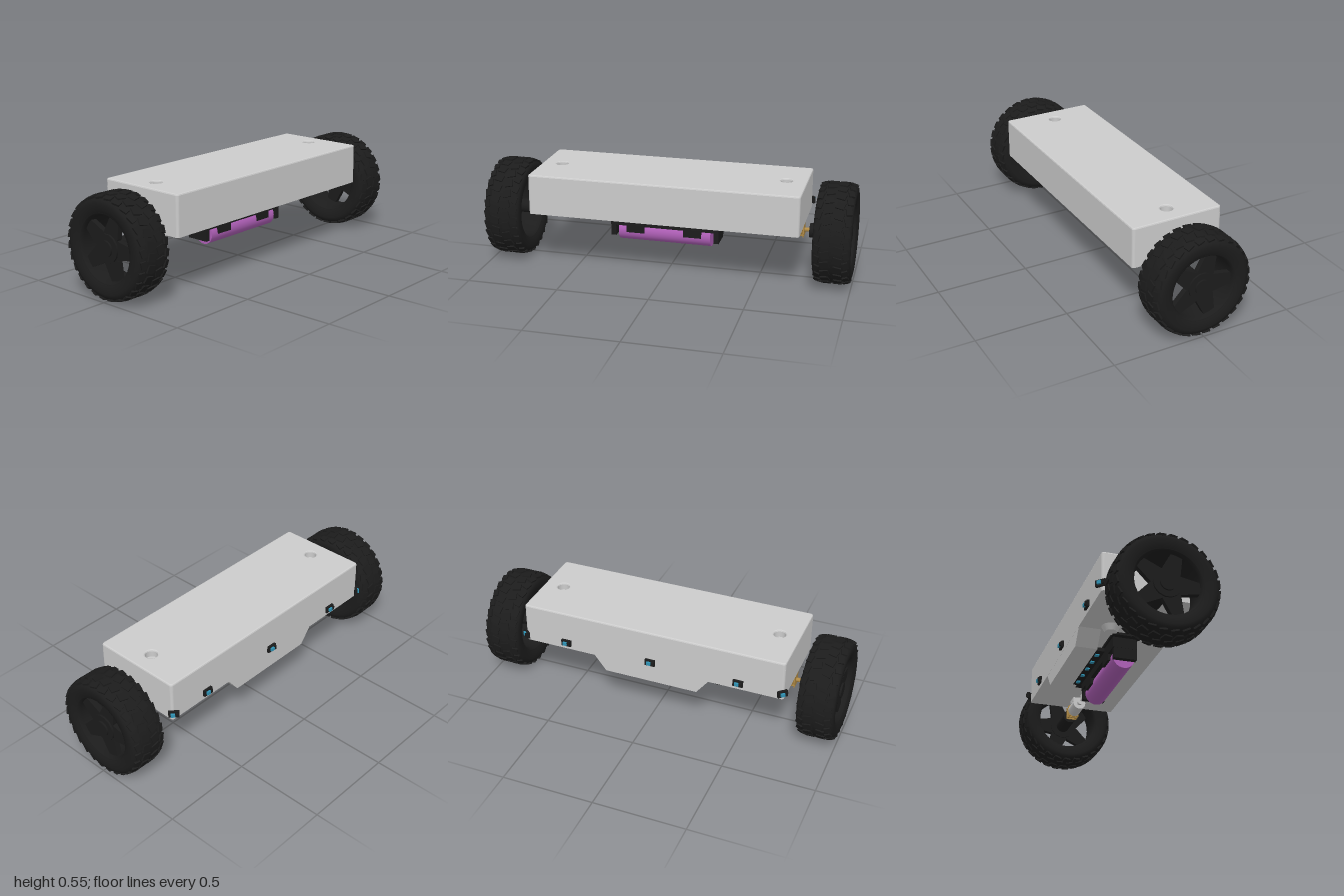
import * as THREE from 'three';
import { RoundedBoxGeometry } from 'three/addons/geometries/RoundedBoxGeometry.js';

const mat = (color, extra = {}) => new THREE.MeshStandardMaterial({ color, ...extra });
const GREY = mat(0xcccccc);
const BLACK = mat(0x1c1c1c);
const TYRE = mat(0x1c1c1c, { side: THREE.DoubleSide });
const PURPLE = mat(0xb060b8);
const BRASS = mat(0xb08a45);
const BLUE = mat(0x2f93b5);

function add(parent, name, geometry, material, x = 0, y = 0, z = 0) {
  const mesh = new THREE.Mesh(geometry, material);
  mesh.name = name;
  mesh.position.set(x, y, z);
  parent.add(mesh);
  return mesh;
}
const box = (w, h, d) => new THREE.BoxGeometry(w, h, d);
const rod = (r, len, n = 24, r2 = r) => new THREE.CylinderGeometry(r, r2, len, n);
const rodX = (r, len, n = 24) => rod(r, len, n).rotateZ(-Math.PI / 2);

// Wheel with its outer side towards +x, origin at the axle in the middle of the tyre
function makeWheel() {
  const wheel = new THREE.Group();
  const lathe = (pts) => new THREE.LatheGeometry(pts.map(p => new THREE.Vector2(...p)), 40).rotateZ(-Math.PI / 2);

  add(wheel, 'tyre', lathe([
    [0.182, -0.088], [0.2, -0.097], [0.228, -0.1], [0.246, -0.095], [0.259, -0.079], [0.265, -0.045], [0.266, 0],
    [0.265, 0.045], [0.259, 0.079], [0.246, 0.095], [0.228, 0.1], [0.2, 0.097], [0.182, 0.088],
  ]), TYRE);
  add(wheel, 'rim', lathe([
    [0.184, -0.088], [0.176, -0.088], [0.168, -0.07], [0.165, 0], [0.168, 0.07], [0.176, 0.088], [0.184, 0.088],
  ]), TYRE);

  // Staggered tread blocks
  const rows = [[-0.076, 0.2605, 0.28], [-0.03, 0.266, 0], [0.03, 0.266, 0], [0.076, 0.2605, -0.28]];
  const count = 28;
  rows.forEach(([x, r, tilt], row) => {
    for (let i = 0; i < count; i++) {
      const a = ((i + (row % 2) * 0.5) / count) * Math.PI * 2;
      const geo = box(row % 3 ? 0.045 : 0.03, 0.011, 0.04);
      geo.rotateY(row % 2 ? 0.25 : -0.25).rotateZ(tilt).translate(x, r, 0).rotateX(a);
      add(wheel, 'treadBlock', geo, BLACK);
    }
  });

  // Five tapered spokes
  const spoke = new THREE.Shape([
    [0.04, -0.05], [0.075, -0.048], [0.175, -0.029], [0.175, 0.029], [0.075, 0.048], [0.04, 0.05],
  ].map(p => new THREE.Vector2(...p)));
  const spokeGeo = new THREE.ExtrudeGeometry(spoke, { depth: 0.03, bevelEnabled: false }).rotateY(Math.PI / 2);
  for (let i = 0; i < 5; i++) {
    add(wheel, 'spoke', spokeGeo, BLACK, 0.035).rotation.x = (i / 5) * Math.PI * 2;
  }
  add(wheel, 'hub', rodX(0.074, 0.045, 14), BLACK, 0.052);
  add(wheel, 'hubCap', rodX(0.041, 0.012), BLACK, 0.078);
  add(wheel, 'hubSleeve', rodX(0.039, 0.18), BLACK, -0.05);
  return wheel;
}

// Small sensor looking towards -z
function makeSensor() {
  const sensor = new THREE.Group();
  sensor.name = 'distanceSensor';
  add(sensor, 'sensorHousing', box(0.055, 0.036, 0.014), BLACK, 0, 0, -0.006);
  add(sensor, 'sensorEye', box(0.022, 0.018, 0.012), BLUE, 0.004, 0, -0.018);
  add(sensor, 'sensorPlug', box(0.014, 0.022, 0.01), BLACK, -0.017, 0, -0.017);
  return sensor;
}

function roundedRect(w, h, r) {
  const s = new THREE.Shape();
  const x = w / 2, y = h / 2;
  s.absarc(x - r, y - r, r, 0, Math.PI / 2);
  s.absarc(-x + r, y - r, r, Math.PI / 2, Math.PI);
  s.absarc(-x + r, -y + r, r, Math.PI, Math.PI * 1.5);
  s.absarc(x - r, -y + r, r, Math.PI * 1.5, Math.PI * 2);
  return s;
}

function makeBody() {
  const body = new THREE.Group();
  body.name = 'body';
  const shell = new THREE.ExtrudeGeometry(roundedRect(1.47, 0.505, 0.014), { depth: 0.18, bevelEnabled: false });
  add(body, 'shell', shell.rotateX(-Math.PI / 2), GREY, 0, 0.32, 0.002);

  // Lid with two recessed screw holes
  const b = 0.008;
  const top = roundedRect(1.47 - 2 * b, 0.505 - 2 * b, 0.008);
  for (const s of [-1, 1]) {
    const hole = new THREE.Path();
    hole.absarc(s * 0.625, 0, 0.04, 0, Math.PI * 2, true);
    top.holes.push(hole);
    add(body, 'screwHead', rod(0.016, 0.012), GREY, s * 0.625, 0.505, 0.002);
  }
  const lid = new THREE.ExtrudeGeometry(top, { depth: 0.042 - b, bevelThickness: b, bevelSize: b, bevelSegments: 2, curveSegments: 20 });
  add(body, 'lid', lid.rotateX(-Math.PI / 2), GREY, 0, 0.5 - 0.002, 0.002);

  // Lowered skirt in the middle of the back
  const skirt = new THREE.Shape([[-0.33, 0.325], [-0.26, 0.235], [0.26, 0.235], [0.33, 0.325]].map(p => new THREE.Vector2(...p)));
  add(body, 'backSkirt', new THREE.ExtrudeGeometry(skirt, { depth: 0.12, bevelEnabled: false }), GREY, 0, 0, -0.25);

  // Mounting bosses under the floor
  for (const x of [-0.37, 0.37]) {
    for (const z of [-0.09, 0.11]) add(body, 'mountingBoss', rod(0.05, 0.032, 20, 0.032), GREY, x, 0.305, z);
  }
  return body;
}

// Battery, its holder and the electronics under the floor
function makeUnderside() {
  const g = new THREE.Group();
  g.name = 'underside';
  add(g, 'circuitBoard', box(0.72, 0.014, 0.15), BLACK, 0, 0.293, 0);
  add(g, 'holderBase', box(0.6, 0.065, 0.13), BLACK, -0.03, 0.26, 0);
  for (const x of [-0.315, 0.262]) add(g, 'holderEnd', box(0.028, 0.12, 0.125), BLACK, x, 0.228, 0.003);
  for (const x of [-0.19, 0.13]) add(g, 'holderClip', box(0.1, 0.045, 0.138), BLACK, x, 0.215, 0.003);
  add(g, 'battery', rodX(0.06, 0.515, 28), PURPLE, -0.028, 0.195, 0.008);
  for (let i = 0; i < 6; i++) {
    add(g, 'boardComponent', box(0.05, 0.022, 0.03), BLACK, -0.25 + i * 0.1, 0.308, 0.06);
  }
  add(g, 'connector', new RoundedBoxGeometry(0.11, 0.038, 0.05, 2, 0.006), GREY, 0.38, 0.254, 0);

  // Row of downward sensors beside the skirt
  add(g, 'lineSensorBar', box(0.46, 0.02, 0.05), BLACK, 0, 0.252, -0.105);
  for (let i = 0; i < 5; i++) add(g, 'lineSensor', box(0.024, 0.01, 0.02), BLUE, -0.18 + i * 0.09, 0.24, -0.108);
  return g;
}

// Gear motor for the +x side, shaft along x
function makeDrive() {
  const g = new THREE.Group();
  add(g, 'motor', rodX(0.036, 0.12), GREY, 0.61);
  add(g, 'motorEnd', rodX(0.014, 0.02), GREY, 0.542);
  for (const x of [0.676, 0.698, 0.728]) add(g, 'gearPlate', box(0.006, 0.07, 0.06), BRASS, x);
  add(g, 'largeGear', rodX(0.026, 0.016, 18), BRASS, 0.712, -0.004, 0.004);
  add(g, 'smallGear', rodX(0.016, 0.016, 14), BRASS, 0.687, 0.012, -0.01);
  for (const y of [-0.027, 0.027]) {
    for (const z of [-0.022, 0.022]) add(g, 'gearPost', rodX(0.005, 0.06, 8), BRASS, 0.702, y, z);
  }
  add(g, 'shaft', rodX(0.011, 0.1, 12), BRASS, 0.76);
  add(g, 'motorMount', box(0.07, 0.03, 0.06), GREY, 0.61, 0.038);
  return g;
}

export function createModel() {
  const model = new THREE.Group();
  model.name = 'twoWheeledRobot';
  model.add(makeBody(), makeUnderside());

  for (const s of [1, -1]) {
    const side = s > 0 ? 'left' : 'right';
    const turn = s > 0 ? 0 : Math.PI;
    const wheel = makeWheel();
    wheel.name = side + 'Wheel';
    wheel.position.set(s * 0.9, 0.273, 0.004);
    wheel.rotation.y = turn;
    const drive = makeDrive();
    drive.name = side + 'Drive';
    drive.position.set(0, 0.275, 0.004);
    drive.rotation.y = turn;
    model.add(wheel, drive);
  }

  // Sensors along the back wall, the outer two turned at the corners
  for (const x of [-0.725, -0.49, 0, 0.49, 0.725]) {
    const sensor = makeSensor();
    sensor.position.set(x, 0.36, -0.25);
    if (Math.abs(x) > 0.6) sensor.rotation.y = -Math.sign(x) * Math.PI / 4;
    model.add(sensor);
  }
  return model;
}
